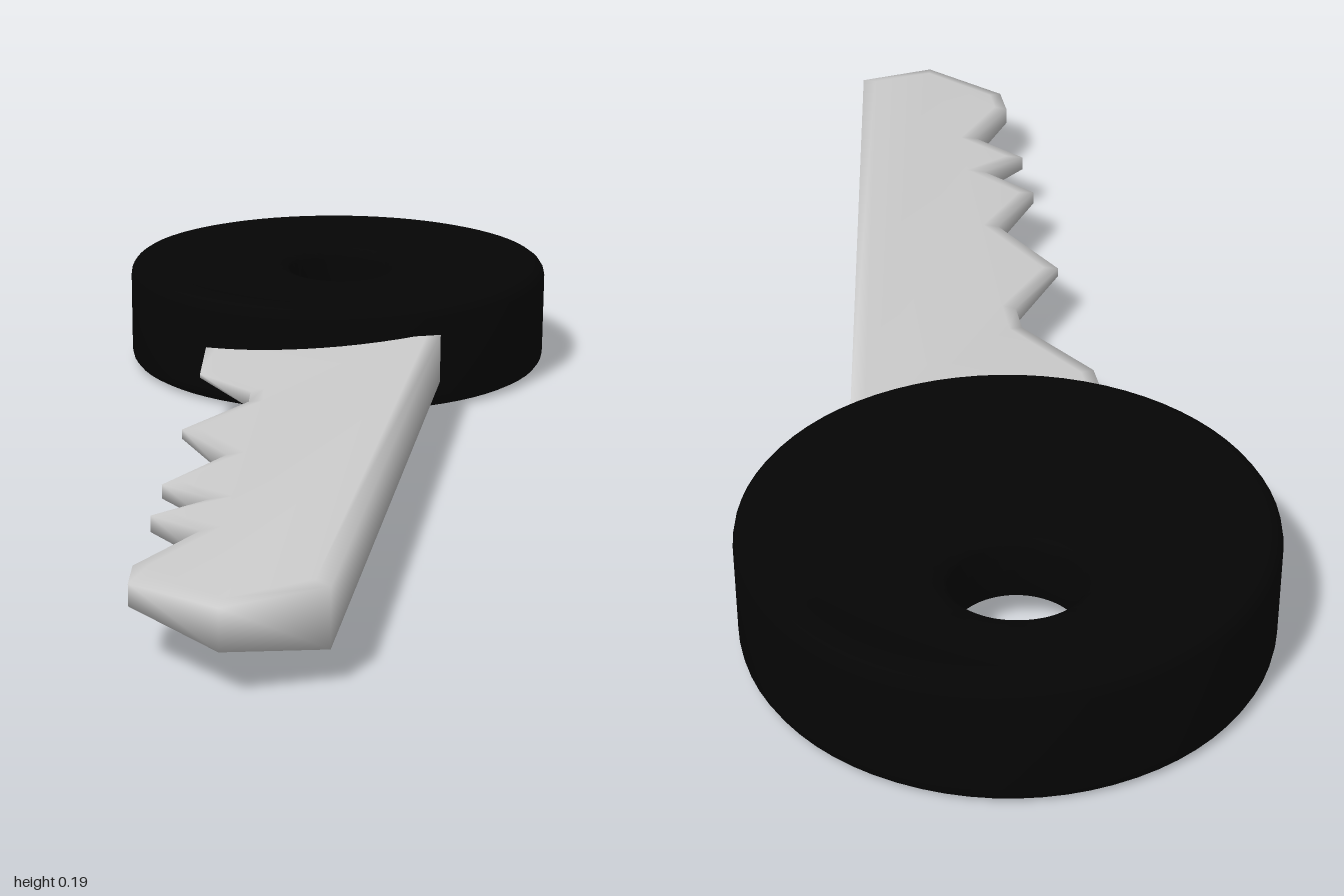
import * as THREE from 'three';
import { toCreasedNormals } from 'three/addons/utils/BufferGeometryUtils.js';

// Round head, dished on both faces, with rounded rims and an off-centre hole
function createHead() {
  const outer = 0.385, inner = 0.095, height = 0.192, round = 0.025;
  const profile = [];
  const addCorner = (r, y, start) => {
    for (let i = 0; i <= 4; i++) {
      const a = start + (i / 4) * Math.PI / 2;
      profile.push(new THREE.Vector2(r + round * Math.cos(a), y + round * Math.sin(a)));
    }
  };
  const addFace = (from, to, y) => {
    for (let i = 1; i < 8; i++) {
      profile.push(new THREE.Vector2(THREE.MathUtils.lerp(from, to, i / 8), y));
    }
  };
  addCorner(inner + round, round, Math.PI);
  addFace(inner + round, outer - round, 0);
  addCorner(outer - round, round, -Math.PI / 2);
  addCorner(outer - round, height - round, 0);
  addFace(outer - round, inner + round, height);
  addCorner(inner + round, height - round, Math.PI / 2);
  profile.push(profile[0].clone());
  const geometry = new THREE.LatheGeometry(profile, 72);

  // Slide the hole off centre, then thin the disc towards its middle
  const position = geometry.attributes.position;
  for (let i = 0; i < position.count; i++) {
    let x = position.getX(i), z = position.getZ(i);
    const shift = (outer - Math.hypot(x, z)) / (outer - inner);
    x -= 0.01 * shift;
    z -= 0.1 * shift;
    const reach = Math.min(Math.hypot(x, z) / (outer - round), 1);
    const thin = 1 - 0.43 * (1 - reach * reach);
    const y = height / 2 + (position.getY(i) - height / 2) * thin;
    position.setXYZ(i, x, y, z - 0.615);
  }
  const head = new THREE.Mesh(
    toCreasedNormals(geometry, 0.8),
    new THREE.MeshStandardMaterial({ color: 0x050505 })
  );
  head.name = 'head';
  return head;
}

// Toothed blade with a soft bevel, tapering from the spine to the cutting edge
function createBlade() {
  const outline = [
    [-0.185, -0.3], [-0.155, -0.1], [-0.045, 0.02], [-0.037, 0.08],
    [-0.115, 0.225], [-0.016, 0.363], [-0.085, 0.5], [0.003, 0.57],
    [-0.07, 0.638], [0.016, 0.706], [-0.047, 0.84], [-0.037, 0.908],
    [0.1, 1], [0.23, 0.93], [0.23, -0.3],
  ].map(([x, z]) => new THREE.Vector2(x, z));
  const geometry = new THREE.ExtrudeGeometry(new THREE.Shape(outline), {
    depth: 1,
    bevelThickness: 0.06,
    bevelSize: 0.022,
    bevelOffset: -0.022,
    bevelSegments: 1,
  });
  geometry.rotateX(Math.PI / 2);

  // Squeeze the unit-thick slab into a wedge
  const position = geometry.attributes.position;
  for (let i = 0; i < position.count; i++) {
    const taper = (position.getX(i) + 0.19) / 0.42;
    const lower = 0.1 - 0.049 * taper;
    const upper = 0.1 + 0.036 * taper;
    position.setY(i, THREE.MathUtils.lerp(lower, upper, position.getY(i) + 1));
  }
  const blade = new THREE.Mesh(
    toCreasedNormals(geometry, 1.75),
    new THREE.MeshStandardMaterial({ color: 0xcccccc })
  );
  blade.name = 'blade';
  return blade;
}

export function createModel() {
  const key = new THREE.Group();
  key.name = 'key';
  key.add(createHead(), createBlade());
  return key;
}
